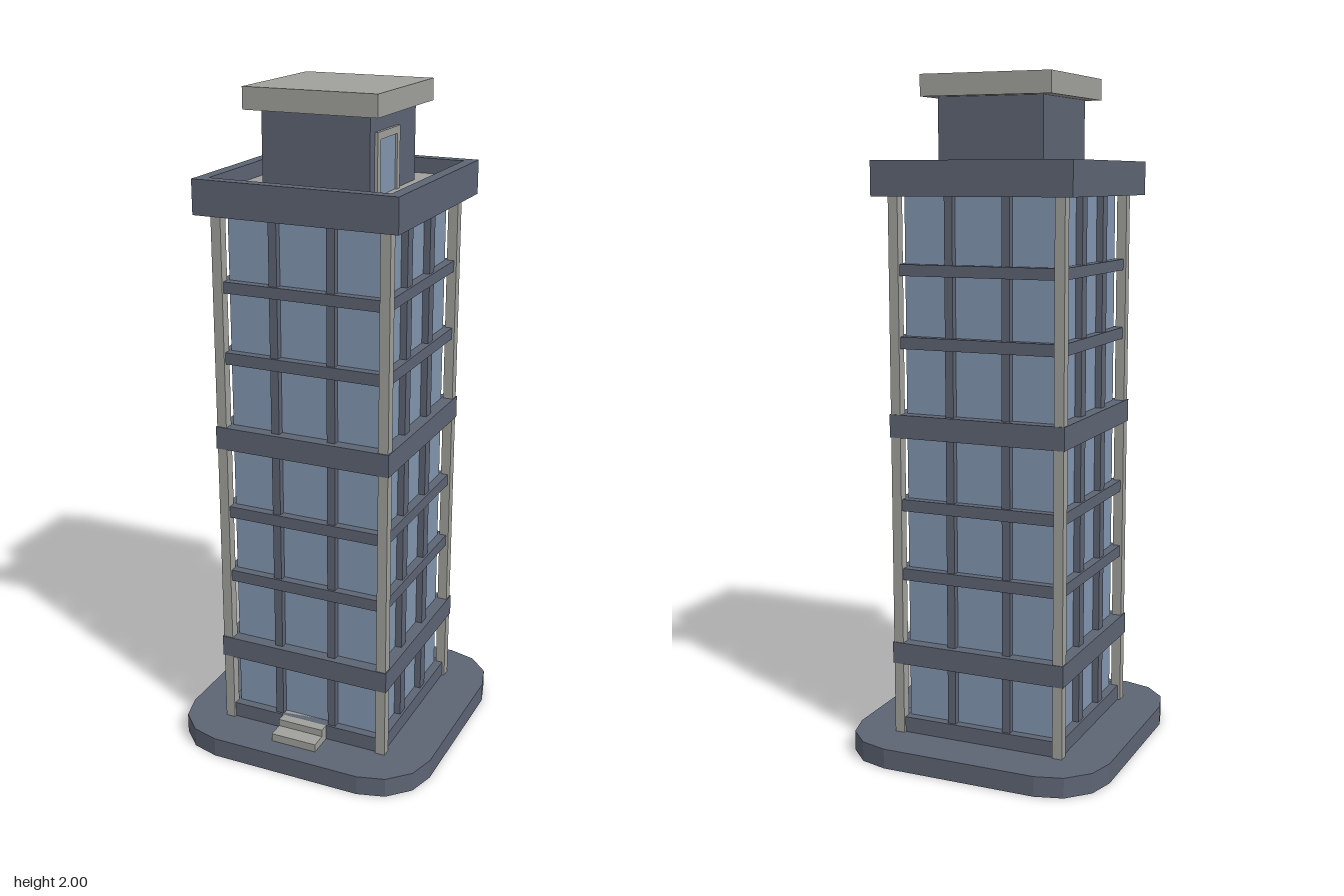
import * as THREE from 'three';

const mat = (color) => new THREE.MeshStandardMaterial({ color });

export function createModel() {
  const model = new THREE.Group();
  model.name = 'officeTower';
  const slate = mat(0x5d6473), glass = mat(0x8296b0), stone = mat(0xa0a19c);

  // Box given by its min and max on each axis
  function box(parent, name, material, [x0, x1], [y0, y1], [z0, z1]) {
    const mesh = new THREE.Mesh(new THREE.BoxGeometry(x1 - x0, y1 - y0, z1 - z0), material);
    mesh.position.set((x0 + x1) / 2, (y0 + y1) / 2, (z0 + z1) / 2);
    mesh.name = name;
    parent.add(mesh);
    return mesh;
  }
  const square = (name, material, half, y0, y1) =>
    box(model, name, material, [-half, half], [y0, y1], [-half, half]);

  // Plinth with faceted rounded corners
  const corner = [[0.405, 0.238], [0.382, 0.32], [0.32, 0.382], [0.238, 0.405]];
  const outline = [];
  for (let q = 0; q < 4; q++) {
    const turn = q * Math.PI / 2;
    for (const [x, y] of corner) {
      outline.push(new THREE.Vector2(x, y).rotateAround(new THREE.Vector2(), turn));
    }
  }
  const plinth = new THREE.Mesh(
    new THREE.ExtrudeGeometry(new THREE.Shape(outline), { depth: 0.06, bevelEnabled: false }), slate);
  plinth.rotation.x = -Math.PI / 2;
  plinth.name = 'plinth';
  model.add(plinth);

  // Glazed core and corner pillars
  square('glassCore', glass, 0.235, 0.06, 1.66);
  for (const sx of [-1, 1]) {
    for (const sz of [-1, 1]) {
      const span = (s) => (s > 0 ? [0.24, 0.27] : [-0.27, -0.24]);
      box(model, 'cornerPillar', stone, span(sx), [0.06, 1.66], span(sz));
    }
  }

  // Heavy belts around the shaft
  square('lowerBelt', slate, 0.273, 0.277, 0.342);
  square('upperBelt', slate, 0.273, 0.965, 1.033);

  // Window grid of each face, drawn facing +z then turned
  const rails = [[0.06, 0.107], [0.535, 0.57], [0.745, 0.78], [1.225, 1.26], [1.435, 1.468]];
  function facade(name, turn, mullions, width) {
    const face = new THREE.Group();
    face.name = name;
    face.rotation.y = turn;
    for (const x of mullions) {
      box(face, 'mullion', slate, [x - width / 2, x + width / 2], [0.06, 1.66], [0.225, 0.255]);
    }
    for (const r of rails) box(face, 'rail', slate, [-0.24, 0.24], r, [0.225, 0.262]);
    model.add(face);
  }
  facade('frontFacade', 0, [-0.088, 0.088], 0.025);
  facade('backFacade', Math.PI, [-0.088, 0.088], 0.025);
  facade('leftFacade', Math.PI / 2, [-0.092, 0.077], 0.036);
  facade('rightFacade', -Math.PI / 2, [-0.077, 0.092], 0.036);

  // Entrance steps
  box(model, 'lowerStep', stone, [-0.073, 0.073], [0.06, 0.085], [0.235, 0.341]);
  box(model, 'upperStep', stone, [-0.073, 0.073], [0.085, 0.107], [0.235, 0.292]);

  // Roof deck inside a raised parapet
  square('roofDeck', stone, 0.272, 1.662, 1.715);
  const rim = new THREE.Shape([[-1, -1], [1, -1], [1, 1], [-1, 1]]
    .map(([x, y]) => new THREE.Vector2(x * 0.306, y * 0.306)));
  rim.holes.push(new THREE.Path([[-1, -1], [-1, 1], [1, 1], [1, -1]]
    .map(([x, y]) => new THREE.Vector2(x * 0.271, y * 0.271))));
  const parapet = new THREE.Mesh(
    new THREE.ExtrudeGeometry(rim, { depth: 0.1, bevelEnabled: false }), slate);
  parapet.rotation.x = -Math.PI / 2;
  parapet.position.y = 1.66;
  parapet.name = 'parapet';
  model.add(parapet);

  // Rooftop cabin with cap
  square('cabin', slate, 0.162, 1.715, 1.94);
  square('cabinCap', stone, 0.2, 1.938, 2);

  // Cabin door
  const door = new THREE.Group();
  door.name = 'cabinDoor';
  box(door, 'doorGlass', glass, [0.155, 0.165], [1.715, 1.87], [-0.01, 0.115]);
  box(door, 'doorJamb', stone, [0.155, 0.171], [1.715, 1.89], [-0.027, -0.007]);
  box(door, 'doorJamb', stone, [0.155, 0.171], [1.715, 1.89], [0.111, 0.131]);
  box(door, 'doorHead', stone, [0.155, 0.171], [1.869, 1.89], [-0.007, 0.111]);
  model.add(door);

  return model;
}
